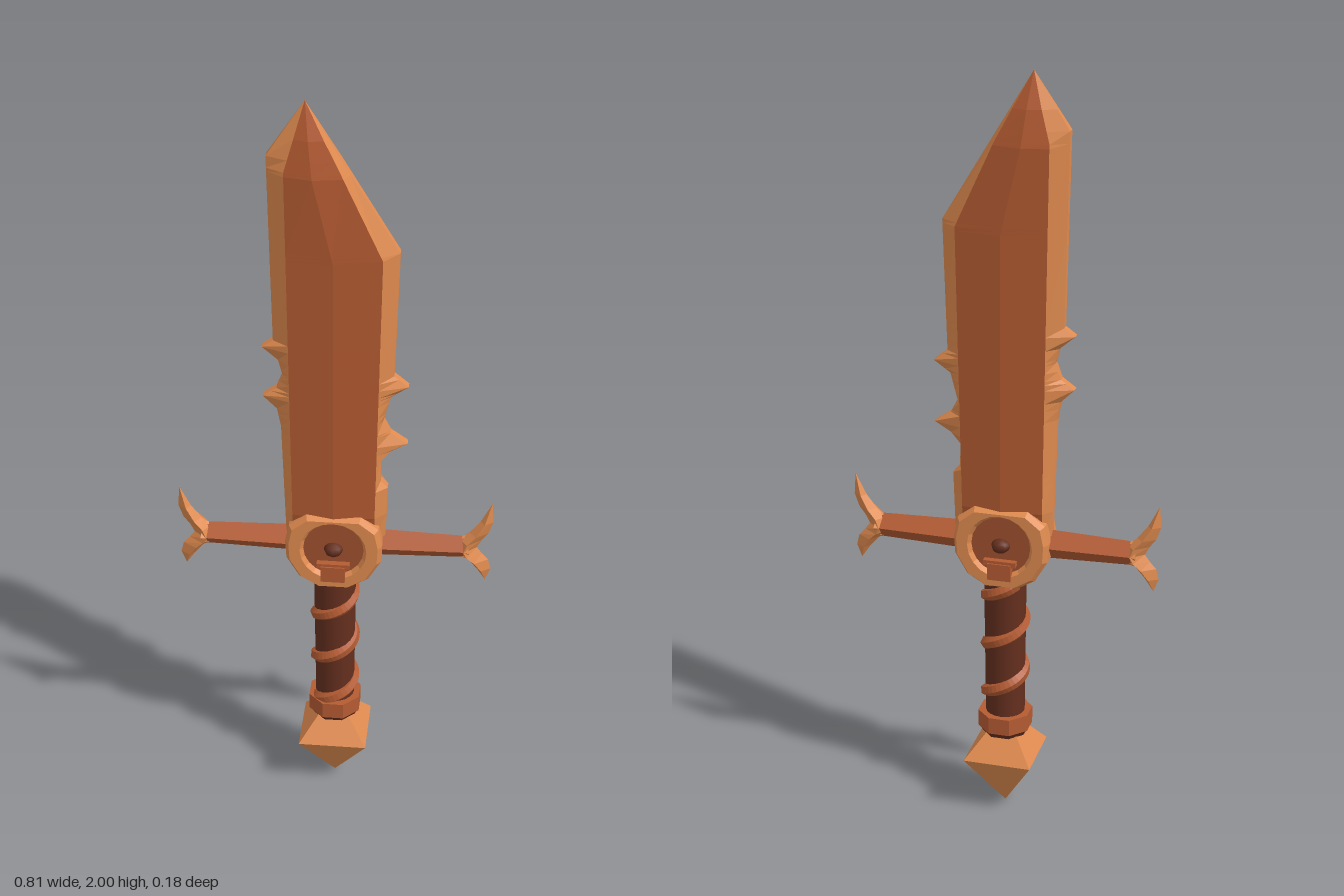
import * as THREE from 'three';

const mat = (name, color, flatShading = true) => {
  const m = new THREE.MeshStandardMaterial({ color, flatShading });
  m.name = name;
  return m;
};

// Piecewise-linear lookup in a list of [y, value], y ascending
function at(keys, y) {
  if (y <= keys[0][0]) return keys[0][1];
  for (let i = 1; i < keys.length; i++) {
    const [y0, a] = keys[i - 1], [y1, b] = keys[i];
    if (y <= y1) return a + (b - a) * (y - y0) / (y1 - y0);
  }
  return keys[keys.length - 1][1];
}

// Skin rows of points, lowest row first, each counter-clockwise from the front left
function loft(rows) {
  const pos = [];
  for (let i = 0; i < rows.length - 1; i++) {
    for (let j = 0; j < rows[i].length - 1; j++) {
      const a = rows[i][j], b = rows[i][j + 1], c = rows[i + 1][j + 1], d = rows[i + 1][j];
      pos.push(...a, ...b, ...c, ...a, ...c, ...d);
    }
  }
  const g = new THREE.BufferGeometry();
  g.setAttribute('position', new THREE.Float32BufferAttribute(pos, 3));
  g.computeVertexNormals();
  return g;
}

export function createModel() {
  const bronze = mat('light bronze', 0xe08b4f);
  const copper = mat('copper', 0xb45b32);
  const wornCopper = mat('worn copper', 0x9f512e);
  const leather = mat('dark leather', 0x642f1e, false);

  const model = new THREE.Group();
  const add = (name, geo, material, parent = model) => {
    const m = new THREE.Mesh(geo, material);
    m.name = name;
    parent.add(m);
    return m;
  };

  // Blade: outer cutting edges with barbs, and the raised body between them
  const leftEdge = [[0.8, -0.125], [1.12, -0.135], [1.17, -0.145], [1.205, -0.18], [1.23, -0.145], [1.27, -0.13],
    [1.31, -0.14], [1.345, -0.18], [1.365, -0.152], [1.86, -0.162], [2, -0.07]];
  const rightEdge = [[0.8, 0.13], [0.95, 0.135], [0.97, 0.117], [1.03, 0.115], [1.06, 0.14], [1.085, 0.183],
    [1.115, 0.14], [1.15, 0.122], [1.22, 0.14], [1.25, 0.183], [1.28, 0.147], [1.62, 0.157], [2, -0.07]];
  const bodyLeft = [[0.8, -0.105], [1.83, -0.118], [2, -0.07]];
  const bodyRight = [[0.8, 0.103], [1.61, 0.118], [1.83, 0.018], [2, -0.07]];
  const ridge = [[0.8, 0], [1.6, 0], [1.82, -0.05], [2, -0.07]];
  const ridgeZ = [[0.8, 0.03], [0.87, 0.05], [1.82, 0.05], [1.91, 0.032], [2, 0]];
  const sideZ = [[0.8, 0.025], [0.87, 0.037], [1.82, 0.037], [1.91, 0.024], [2, 0]];
  const edgeZ = [[0.8, 0.01], [1.86, 0.01], [2, 0]];
  const ys = [...new Set([leftEdge, rightEdge, bodyLeft, bodyRight, ridge, ridgeZ].flat().map(k => k[0]))]
    .sort((a, b) => a - b);

  const blade = new THREE.Group();
  blade.name = 'blade';
  model.add(blade);
  const bladeRows = ys.map(y => {
    const xs = [leftEdge, bodyLeft, ridge, bodyRight, rightEdge].map(k => at(k, y));
    const zs = [edgeZ, sideZ, ridgeZ, sideZ, edgeZ].map(k => at(k, y));
    const front = xs.map((x, i) => [x, y, zs[i]]);
    const back = xs.map((x, i) => [x, y, -zs[i]]).reverse();
    return [...front, ...back, front[0]];
  });
  bladeRows.unshift(bladeRows[0].map(() => [0, 0.8, 0]));
  const strip = (from, to) => loft(bladeRows.map(r => r.slice(from, to + 1)));
  add('bladeFrontFace', strip(1, 3), copper, blade);
  add('bladeBackFace', strip(6, 8), copper, blade);
  add('bladeRightEdge', strip(3, 6), bronze, blade);
  add('bladeLeftEdge', loft(bladeRows.map(r => [r[8], r[9], r[0], r[1]])), bronze, blade);

  // Guard ring around the centre disc
  const half = [[0.04, 0.655], [0.09, 0.685], [0.122, 0.74], [0.125, 0.79], [0.115, 0.84], [0.07, 0.876]];
  const outline = [...half, ...half.map(([x, y]) => [-x, y]).reverse()];
  const ringShape = new THREE.Shape(outline.map(p => new THREE.Vector2(...p)));
  const hole = new THREE.Path();
  hole.absarc(0, 0.775, 0.076, 0, Math.PI * 2, true);
  ringShape.holes.push(hole);
  const ringGeo = new THREE.ExtrudeGeometry(ringShape, {
    depth: 0.084, bevelEnabled: true, bevelThickness: 0.016, bevelSize: 0.01, bevelOffset: -0.01,
    bevelSegments: 1, curveSegments: 10,
  });
  add('guardRing', ringGeo.translate(0, 0, -0.042), bronze);
  add('centreDisc', new THREE.CylinderGeometry(0.085, 0.085, 0.09, 16).rotateX(Math.PI / 2), wornCopper)
    .position.y = 0.775;
  add('clasp', new THREE.BoxGeometry(0.062, 0.045, 0.132), copper).position.y = 0.707;
  add('claspLip', new THREE.BoxGeometry(0.085, 0.014, 0.124), copper).position.y = 0.73;
  for (const s of [1, -1]) {
    const gem = add('gem', new THREE.SphereGeometry(0.025, 8, 6), leather);
    gem.scale.y = 0.8;
    gem.position.set(0, 0.775, s * 0.045);
  }

  // Crossguard arms, each ending in a two-pointed crescent: [y, inner x, outer x, half depth]
  const hornRows = [[0.675, 0.39, 0.39, 0], [0.71, 0.366, 0.403, 0.016], [0.738, 0.342, 0.396, 0.024],
    [0.757, 0.322, 0.379, 0.029], [0.775, 0.315, 0.366, 0.031], [0.797, 0.322, 0.377, 0.029],
    [0.82, 0.346, 0.394, 0.024], [0.855, 0.373, 0.406, 0.016], [0.912, 0.402, 0.402, 0]];
  for (const s of [1, -1]) {
    const arm = new THREE.Group();
    arm.name = s > 0 ? 'leftCrossguard' : 'rightCrossguard';
    if (s < 0) arm.rotation.y = Math.PI;
    model.add(arm);
    const bar = new THREE.CylinderGeometry(0.033, 0.041, 0.25, 4).rotateZ(-Math.PI / 2);
    bar.scale(1, 1, 0.88);
    add('guardArm', bar, copper, arm).position.set(0.21, 0.775, 0);
    const horn = loft(hornRows.map(([y, a, b, w]) => {
      const m = a + (b - a) * 0.35;
      return [[a, y, 0], [m, y, w], [b, y, 0], [m, y, -w], [a, y, 0]];
    }));
    add('guardHorn', horn, bronze, arm);
    // Small spurs gripping the arm
    for (const [dy, dz] of [[0.028, 0], [-0.028, 0], [0, 0.023], [0, -0.023]]) {
      const spur = add('hornSpur', new THREE.ConeGeometry(0.01, 0.036, 4).rotateZ(Math.PI / 2), bronze, arm);
      spur.position.set(0.328, 0.775 + dy, dz);
    }
  }

  // Grip with spiral wrap
  add('grip', new THREE.CylinderGeometry(0.055, 0.051, 0.43, 20), leather).position.y = 0.455;
  const pts = [];
  for (let y = 0.265; y <= 0.675; y += 0.01) {
    const t = Math.PI / 2 + (y - 0.33) / 0.14 * Math.PI * 2;
    pts.push(new THREE.Vector3(Math.sin(t) * 0.048, y, Math.cos(t) * 0.048));
  }
  add('gripWrap', new THREE.TubeGeometry(new THREE.CatmullRomCurve3(pts), 90, 0.018, 6), copper);

  // Collar and pommel
  add('collar', new THREE.CylinderGeometry(0.072, 0.072, 0.046, 8).rotateY(Math.PI / 8), copper).position.y = 0.257;
  add('collarBase', new THREE.CylinderGeometry(0.069, 0.06, 0.016, 8).rotateY(Math.PI / 8), leather)
    .position.y = 0.226;
  const square = (top, bottom, h) =>
    new THREE.CylinderGeometry(top * Math.SQRT2, bottom * Math.SQRT2, h, 4).rotateY(Math.PI / 4);
  add('pommelTop', square(0.042, 0.09, 0.065), bronze).position.y = 0.1875;
  add('pommelPoint', square(0.09, 0, 0.155), bronze).position.y = 0.0775;

  return model;
}
